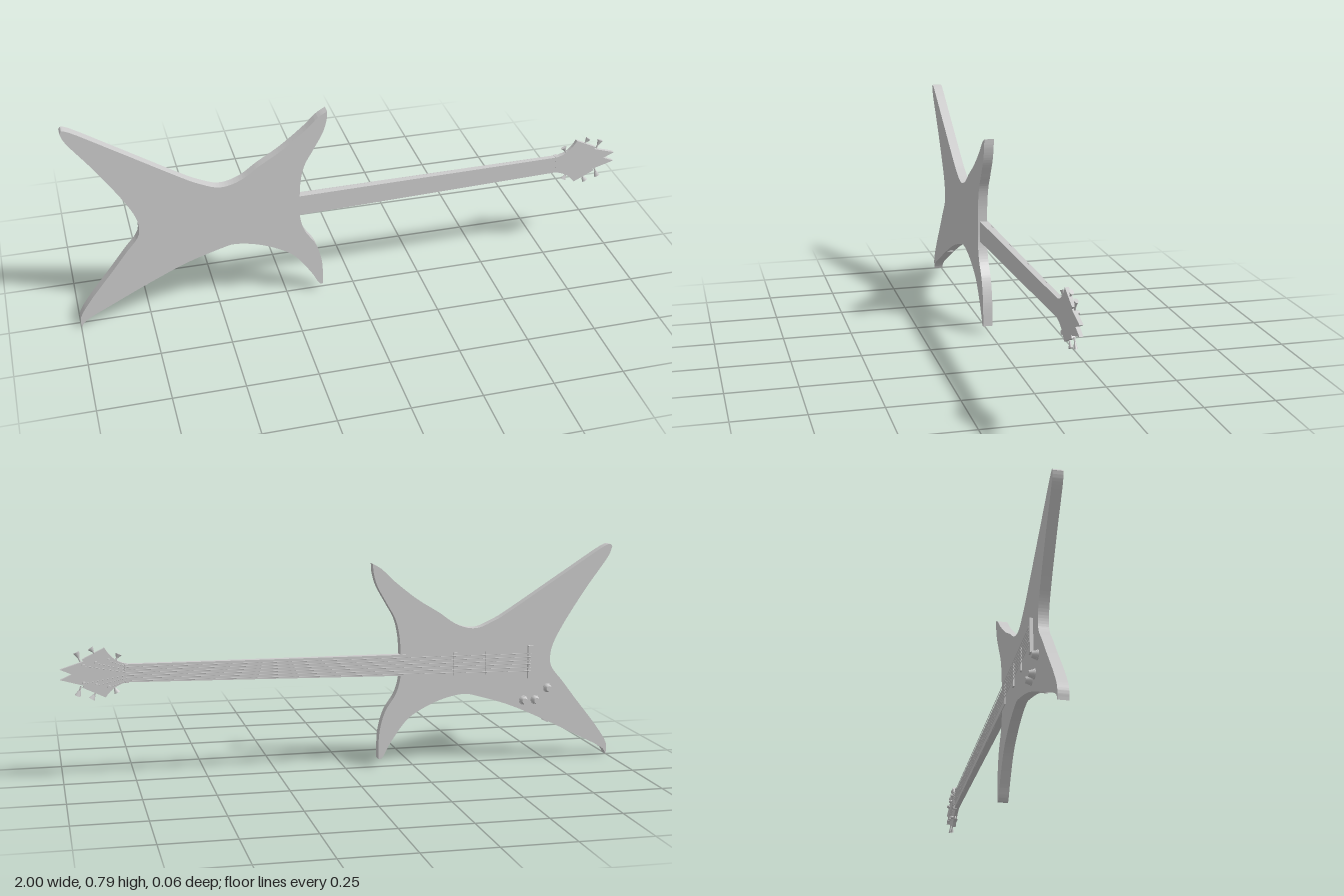
import * as THREE from 'three';
import { toCreasedNormals } from 'three/addons/utils/BufferGeometryUtils.js';

const V = (x, y, z) => new THREE.Vector3(x, y, z);

export function createModel() {
  const grey = new THREE.MeshStandardMaterial({ color: 0xcccccc });
  grey.name = 'plain grey';
  const guitar = new THREE.Group();
  guitar.name = 'guitar';

  const add = (name, geometry) => {
    const mesh = new THREE.Mesh(geometry, grey);
    mesh.name = name;
    guitar.add(mesh);
    return mesh;
  };
  // centre line of the neck, rising slightly towards the head
  const midY = (x) => 0.3745 + 0.0134 * x;

  // plate cut from an outline, spanning z0..z1
  const plate = (name, shape, z0, z1) => {
    const g = new THREE.ExtrudeGeometry(shape, { depth: z1 - z0, bevelEnabled: false, curveSegments: 40 });
    g.translate(0, 0, z0);
    return add(name, toCreasedNormals(g, 0.6));
  };
  // round bar between two points; r1 at a, r2 at b
  const bar = (name, a, b, r1, r2 = r1, sides = 12) => {
    const d = b.clone().sub(a);
    const mesh = add(name, new THREE.CylinderGeometry(r2, r1, d.length(), sides));
    mesh.position.copy(a).addScaledVector(d, 0.5);
    mesh.quaternion.setFromUnitVectors(V(0, 1, 0), d.normalize());
    return mesh;
  };
  // tapered block: each end is [x, yLow, yHigh, zFront, zBack]
  const block = (name, e0, e1) => {
    const g = new THREE.BoxGeometry(1, 1, 1);
    const p = g.attributes.position;
    for (let i = 0; i < p.count; i++) {
      const e = p.getX(i) < 0 ? e0 : e1;
      p.setXYZ(i, e[0], p.getY(i) < 0 ? e[1] : e[2], p.getZ(i) < 0 ? e[3] : e[4]);
    }
    g.computeVertexNormals();
    return add(name, g);
  };
  const across = (name, x, w, h, z0, z1) => {
    const y = midY(x);
    return block(name, [x - w / 2, y - h / 2, y + h / 2, z0, z1], [x + w / 2, y - h / 2, y + h / 2, z0, z1]);
  };

  // body: four swept wings, smooth between the tips
  const edges = [
    [[-0.998, 0.782], [-0.97, 0.784], [-0.82, 0.69], [-0.62, 0.562], [-0.55, 0.522], [-0.48, 0.497], [-0.41, 0.513],
      [-0.34, 0.56], [-0.26, 0.61], [-0.18, 0.673], [-0.13, 0.72], [-0.097, 0.74]],
    [[-0.097, 0.74], [-0.1, 0.705], [-0.115, 0.657], [-0.15, 0.594], [-0.18, 0.54], [-0.195, 0.48], [-0.2, 0.41],
      [-0.2, 0.332], [-0.183, 0.268], [-0.143, 0.203], [-0.122, 0.123], [-0.12, 0.03]],
    [[-0.12, 0.03], [-0.135, 0.036], [-0.165, 0.09], [-0.22, 0.165], [-0.275, 0.205], [-0.355, 0.24], [-0.435, 0.256],
      [-0.49, 0.246], [-0.61, 0.208], [-0.74, 0.15], [-0.87, 0.085], [-0.975, 0.03], [-0.998, 0]],
    [[-0.998, 0], [-0.997, 0.045], [-0.955, 0.112], [-0.87, 0.22], [-0.82, 0.285], [-0.778, 0.337], [-0.768, 0.375],
      [-0.778, 0.428], [-0.82, 0.508], [-0.9, 0.63], [-0.98, 0.74], [-0.998, 0.782]],
  ];
  const body = new THREE.Shape();
  body.moveTo(...edges[0][0]);
  for (const e of edges) body.splineThru(e.slice(1).map(([x, y]) => new THREE.Vector2(x, y)));
  plate('body', body, -0.0095, 0.0255);

  // neck and fingerboard
  block('neck', [-0.22, 0.333, 0.41, -0.0095, 0.017], [0.79, 0.354, 0.417, -0.006, 0.008]);
  block('fingerboard', [-0.26, 0.333, 0.41, -0.012, -0.009], [0.775, 0.354, 0.417, -0.0095, -0.005]);
  across('nut', 0.775, 0.012, 0.066, -0.0145, 0);

  // pointed headstock with a notched end
  const head = new THREE.Shape();
  head.moveTo(0.77, 0.417);
  head.quadraticCurveTo(0.82, 0.425, 0.848, 0.476);
  for (const p of [[0.925, 0.438], [0.92, 0.431], [1, 0.406], [0.96, 0.388], [1, 0.37], [0.92, 0.347], [0.925, 0.34], [0.848, 0.303]])
    head.lineTo(...p);
  head.quadraticCurveTo(0.82, 0.345, 0.77, 0.354);
  plate('headstock', head, -0.004, 0.009);

  // bridge and pickups
  across('bridge', -0.69, 0.02, 0.122, -0.021, -0.009);
  for (const x of [-0.525, -0.405]) across('pickup', x, 0.014, 0.085, -0.015, -0.009);

  // tuners: [button foot, button tip] on each side, with posts for the strings
  const tuners = [
    [[0.81, 0.43], [0.8, 0.452]], [[0.88, 0.455], [0.895, 0.476]], [[0.93, 0.43], [0.943, 0.463]],
    [[0.82, 0.342], [0.808, 0.317]], [[0.88, 0.323], [0.895, 0.298]], [[0.93, 0.345], [0.943, 0.311]],
  ];
  const posts = [];
  tuners.forEach(([a, b], i) => {
    const z = 0.002;
    bar('tunerShaft', V(...a, z), V(...b, z), 0.003);
    const tip = V(...b, z), foot = V(...a, z);
    const button = bar('tunerButton', foot.clone().lerp(tip, 0.4), tip, 0.004, 0.011);
    button.scale.z = 0.6;
    const x = 0.835 + (i % 3) * 0.043;
    const post = V(x, midY(x) + (i < 3 ? 1 : -1) * (0.047 - (i % 3) * 0.008), -0.015);
    bar('tunerPost', V(post.x, post.y, 0), post, 0.006);
    posts.push(post);
  });

  // six strings from the bridge over the nut to the posts
  const order = [0, 1, 2, 5, 4, 3];
  order.forEach((k, i) => {
    const s = 2.5 - i;
    const start = V(-0.69, midY(-0.69) + s * 0.013, -0.0215);
    const nut = V(0.775, midY(0.775) + s * 0.0095, -0.0148);
    const end = posts[k].clone().setZ(-0.012);
    bar('string', start, nut, 0.0012, 0.0012, 6);
    bar('stringEnd', nut, end, 0.0012, 0.0012, 6);
  });

  // control knobs
  for (const [x, y] of [[-0.76, 0.264], [-0.713, 0.222], [-0.668, 0.222]]) {
    bar('knobSkirt', V(x, y, -0.009), V(x, y, -0.014), 0.017, 0.016, 24);
    bar('knob', V(x, y, -0.014), V(x, y, -0.03), 0.015, 0.01, 24);
  }

  // output jack on the lower edge
  const rim = V(-0.76, 0.14, 0.008), out = V(0.45, -0.89, 0);
  bar('jackPlate', rim.clone().addScaledVector(out, -0.01), rim.clone().addScaledVector(out, 0.004), 0.013, 0.013, 24);

  // the instrument leans a hair about the vertical
  guitar.rotation.y = 0.0045;
  return guitar;
}
